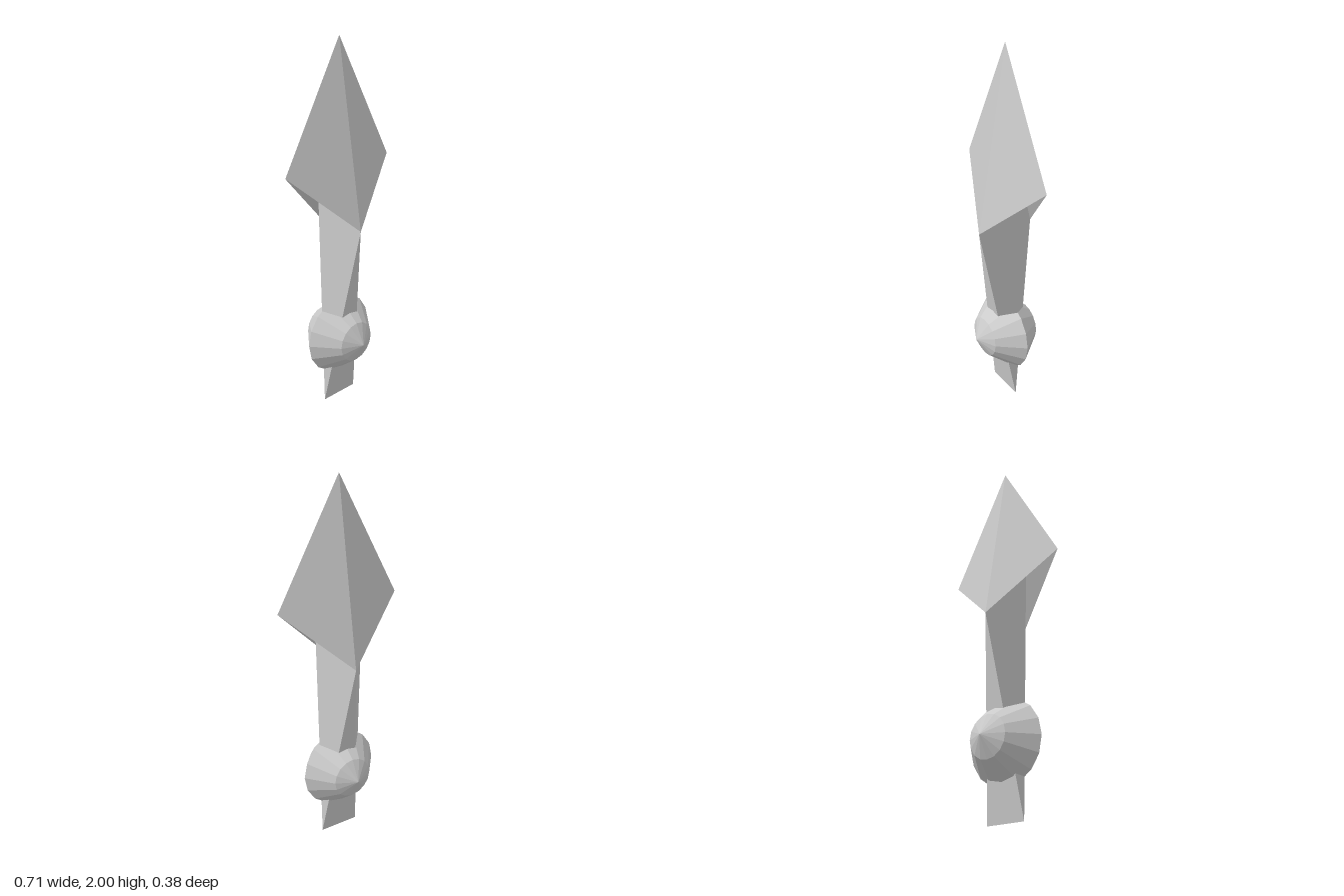
import * as THREE from 'three';

// Faceted geometry from planar (or nearly planar) polygons, one normal per polygon
function polygons(faces) {
  const pos = [], nor = [];
  for (const f of faces) {
    const n = new THREE.Vector3(), a = new THREE.Vector3(), b = new THREE.Vector3();
    for (let i = 1; i < f.length - 1; i++) {
      n.add(a.subVectors(f[i], f[0]).cross(b.subVectors(f[i + 1], f[0])));
    }
    n.normalize();
    for (let i = 1; i < f.length - 1; i++) {
      for (const p of [f[0], f[i], f[i + 1]]) {
        pos.push(p.x, p.y, p.z);
        nor.push(n.x, n.y, n.z);
      }
    }
  }
  const g = new THREE.BufferGeometry();
  g.setAttribute('position', new THREE.Float32BufferAttribute(pos, 3));
  g.setAttribute('normal', new THREE.Float32BufferAttribute(nor, 3));
  return g;
}

export function createModel() {
  const model = new THREE.Group();
  const grey = new THREE.MeshStandardMaterial({ color: 0xcccccc });
  grey.name = 'stone grey';

  const v = (x, y, z) => new THREE.Vector3(x, y, z);
  const apex = v(0, 2, 0);
  const tip = v(0.353, 1.36, 0);
  const front = v(0, 1.04, 0.16), back = v(0, 1.04, -0.16);
  const shoulder = v(0.145, 1.36, 0);
  const foot = v(0.112, 0, 0), otherFoot = v(-0.112, 0, 0);

  // Half of the pointed head, with the hollow under its barb
  const headHalf = polygons([
    [front, tip, apex],
    [back, apex, tip],
    [tip, front, shoulder],
    [tip, shoulder, back],
  ]);
  // Half of the shaft: one folded side and one tapering face
  const shaftHalf = polygons([
    [foot, back, shoulder, front],
    [otherFoot, foot, front],
  ]);

  // Each half repeats, turned half way round
  for (const [name, geometry] of [['head', headHalf], ['shaft', shaftHalf]]) {
    const part = new THREE.Group();
    part.name = name;
    for (const turn of [0, Math.PI]) {
      const mesh = new THREE.Mesh(geometry, grey);
      mesh.name = name + 'Half';
      mesh.rotation.y = turn;
      part.add(mesh);
    }
    model.add(part);
  }

  // Faceted round boss, its axis running front to back
  const profile = [[0, -0.192], [0.112, -0.136], [0.223, 0], [0.112, 0.136], [0, 0.192]];
  const ring = ([r, z]) => Array.from({ length: 16 }, (_, i) => {
    const t = (i / 16) * Math.PI * 2;
    return v(r * Math.cos(t), r * Math.sin(t), z);
  });
  const rings = profile.map(ring);
  const facets = [];
  for (let k = 0; k < 4; k++) {
    for (let i = 0; i < 16; i++) {
      const j = (i + 1) % 16;
      const lo = rings[k], hi = rings[k + 1];
      if (k === 0) facets.push([lo[i], hi[j], hi[i]]);
      else if (k === 3) facets.push([lo[i], lo[j], hi[i]]);
      else facets.push([lo[i], lo[j], hi[j], hi[i]]);
    }
  }
  const boss = new THREE.Mesh(polygons(facets), grey);
  boss.name = 'boss';
  boss.position.y = 0.39;
  model.add(boss);

  return model;
}
